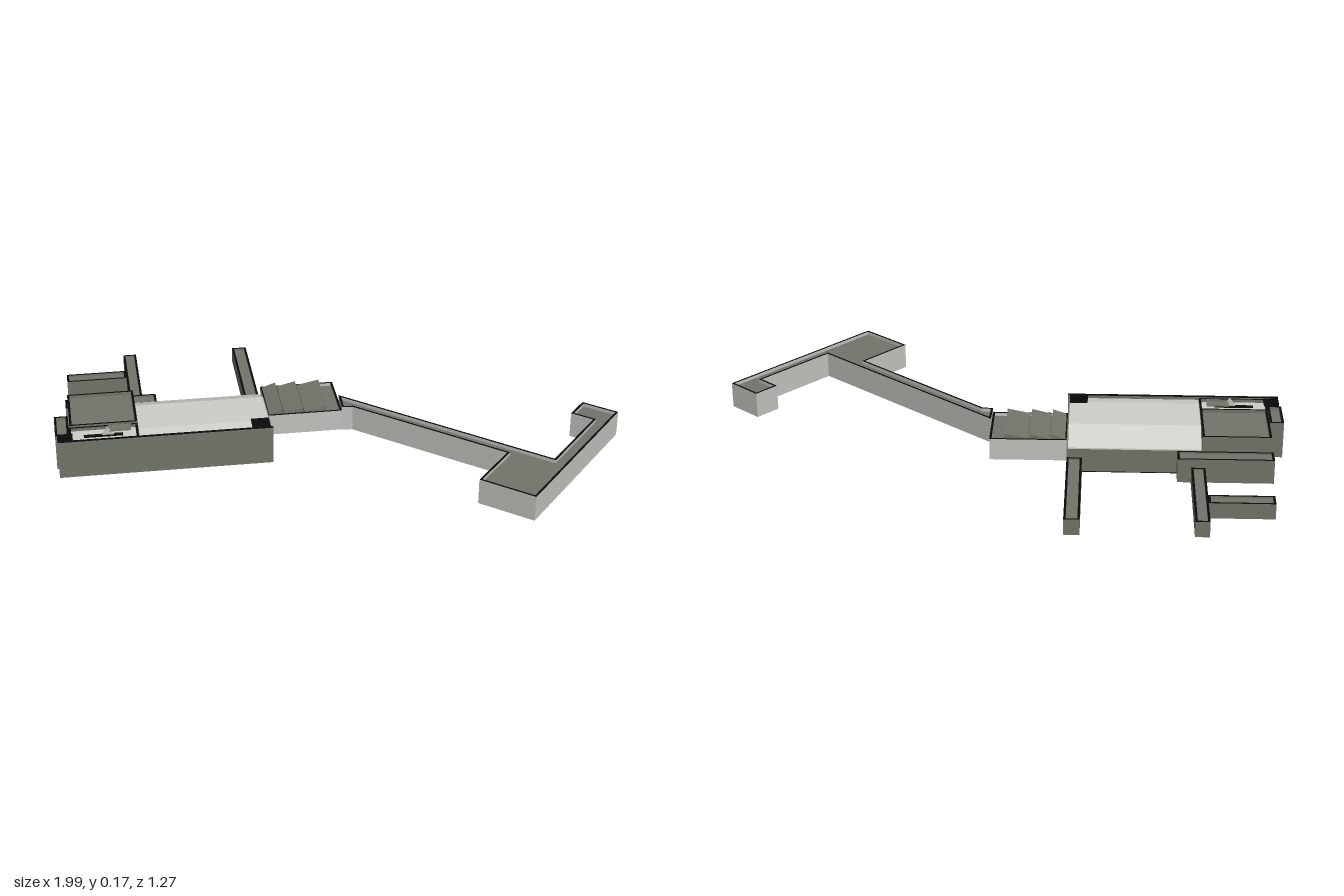
import * as THREE from 'three';

const mat = (name, color) => Object.assign(new THREE.MeshStandardMaterial({ color }), { name });

export function createModel() {
  const stone = mat('dark stone', 0x72756b);
  const pale = mat('pale wall', 0xc2c2be);
  const bright = mat('bright roof', 0xcfcfca);
  const black = mat('black trim', 0x0a0a0a);
  const model = new THREE.Group();
  model.name = 'terminalComplex';
  // the main building stands turned against the long walkway
  const hall = new THREE.Group();
  hall.name = 'mainBuilding';
  hall.rotation.y = 0.702;
  model.add(hall);

  const add = (parent, name, geometry, material) => {
    const m = new THREE.Mesh(geometry, material);
    m.name = name;
    parent.add(m);
    return m;
  };
  const box = (parent, name, x0, x1, y0, y1, z0, z1, material) => {
    const g = new THREE.BoxGeometry(x1 - x0, y1 - y0, z1 - z0);
    g.translate((x0 + x1) / 2, (y0 + y1) / 2, (z0 + z1) / 2);
    return add(parent, name, g, material);
  };
  const rect = (x0, x1, z0, z1) => [[x0, z0], [x0, z1], [x1, z1], [x1, z0]];

  // plan outline moved inwards by d, for outlines listed as left, near, right, far
  const inset = (pts, d) => pts.map((p, i) => {
    const n = pts.length, a = pts[(i + n - 1) % n], b = pts[(i + 1) % n];
    const normal = (s, e) => {
      const l = Math.hypot(e[0] - s[0], e[1] - s[1]);
      return [(e[1] - s[1]) / l, -(e[0] - s[0]) / l];
    };
    const m = normal(a, p), k = normal(p, b);
    const f = d / (1 + m[0] * k[0] + m[1] * k[1]);
    return [p[0] + (m[0] + k[0]) * f, p[1] + (m[1] + k[1]) * f];
  });
  const outline = (pts) => new THREE.Shape(pts.map(([x, z]) => new THREE.Vector2(x, -z)));

  // flat-roofed block: walls with a dark rim, sunken roof and dark underside
  const block = (parent, name, pts, y0, y1, wall, roof = stone, sink = 0.012) => {
    const group = new THREE.Group();
    group.name = name;
    parent.add(group);
    const inner = inset(pts, 0.008);
    const ring = outline(pts);
    ring.holes.push(outline(inner));
    const walls = new THREE.ExtrudeGeometry(ring, { depth: y1 - y0, bevelEnabled: false });
    walls.rotateX(-Math.PI / 2).translate(0, y0, 0);
    add(group, name + 'Walls', walls, [black, wall]);
    const top = new THREE.ShapeGeometry(outline(inner));
    top.rotateX(-Math.PI / 2).translate(0, y1 - sink, 0);
    add(group, name + 'Roof', top, roof);
    const under = new THREE.ExtrudeGeometry(outline(inner), { depth: 0.003, bevelEnabled: false });
    under.rotateX(-Math.PI / 2).translate(0, y0, 0);
    add(group, name + 'Underside', under, black);
  };

  // raised walkway with hooked end building
  block(model, 'walkway', [
    [0.06, -0.21], [0.117, -0.138], [0.15, -0.16], [0.78, -0.16], [0.78, 0.055], [0.995, 0.055],
    [0.995, -0.64], [0.853, -0.64], [0.853, -0.54], [0.94, -0.54], [0.94, -0.21],
  ], 0.045, 0.14, pale);

  // connector between hall and walkway, with three sloped roof bays
  block(hall, 'connector', rect(-0.095, 0.179, -0.256, -0.03), 0.045, 0.125, pale);
  [[-0.09, -0.04], [-0.034, 0.036], [0.042, 0.125]].forEach(([a0, a1], i) => {
    const s = new THREE.Shape([[a0, 0.11], [a1, 0.11], [a1, 0.143], [a0, 0.126]]
      .map(([x, y]) => new THREE.Vector2(x, y)));
    const g = new THREE.ExtrudeGeometry(s, { depth: 0.21, bevelEnabled: false });
    g.translate(0, 0, -0.248);
    add(hall, 'roofBay' + (i + 1), g, stone);
  });

  // profile in (z, y) swept along the length of the hall
  const sweep = (name, pts, a0, a1, material) => {
    const s = new THREE.Shape(pts.map(([z, y]) => new THREE.Vector2(z, y)));
    const g = new THREE.ExtrudeGeometry(s, { depth: a1 - a0, bevelEnabled: false });
    g.rotateY(-Math.PI / 2).translate(a1, 0, 0);
    add(hall, name, g, material);
  };
  const roofLine = [[-0.254, 0.09], [-0.15, 0.135], [0.03, 0.138], [0.086, 0.128]];
  sweep('hallBody', [[-0.254, 0.003], ...roofLine, [0.086, 0.003]], -0.574, -0.095, stone);
  for (let i = 0; i < 3; i++) {
    const [p, q] = [roofLine[i], roofLine[i + 1]];
    sweep('hallRoof' + (i + 1), [p, [p[0], p[1] + 0.005], [q[0], q[1] + 0.005], q], -0.572, -0.1, bright);
  }
  box(hall, 'hallUnderside', -0.574, -0.095, 0, 0.003, -0.254, 0.086, black);
  box(hall, 'roofWell', -0.165, -0.1, 0.136, 0.146, 0.02, 0.084, black);

  // front wall with its dark coping
  box(hall, 'frontWall', -0.865, -0.092, 0, 0.144, 0.085, 0.093, stone);
  box(hall, 'frontCoping', -0.865, -0.092, 0.144, 0.147, 0.085, 0.093, black);

  // left wing, forecourt roof and side annexes
  block(hall, 'leftWing', rect(-0.818, -0.574, -0.256, -0.02), 0, 0.147, stone);
  block(hall, 'forecourt', rect(-0.822, -0.574, -0.02, 0.086), 0, 0.14, stone, bright);
  box(hall, 'forecourtSlot', -0.77, -0.63, 0.128, 0.134, 0.03, 0.042, black);
  block(hall, 'sideAnnex', rect(-0.872, -0.822, -0.112, 0.03), 0, 0.137, stone);
  box(hall, 'cornerTower', -0.865, -0.822, 0, 0.137, 0.03, 0.086, stone);
  box(hall, 'cornerCap', -0.865, -0.81, 0.137, 0.143, 0.03, 0.086, black);
  block(hall, 'rearAnnex', rect(-0.826, -0.486, -0.322, -0.256), 0, 0.09, stone, stone, 0.006);

  // small canopy fin on the forecourt roof
  const fin = new THREE.ExtrudeGeometry(new THREE.Shape([
    new THREE.Vector2(-0.71, 0.126), new THREE.Vector2(-0.655, 0.126), new THREE.Vector2(-0.685, 0.166),
  ]), { depth: 0.006, bevelEnabled: false });
  add(hall, 'canopyFin', fin.translate(0, 0, 0.034), pale);
  box(hall, 'canopy', -0.68, -0.6, 0.146, 0.151, 0, 0.04, stone);

  // low boarding piers at the back
  block(hall, 'rightPier', rect(-0.15, -0.095, -0.718, -0.256), 0, 0.058, stone, stone, 0.006);
  block(hall, 'leftPier', rect(-0.584, -0.534, -0.718, -0.322), 0, 0.058, stone, stone, 0.006);
  block(hall, 'pierBranch', rect(-0.812, -0.584, -0.585, -0.525), 0, 0.058, stone, stone, 0.006);

  return model;
}
